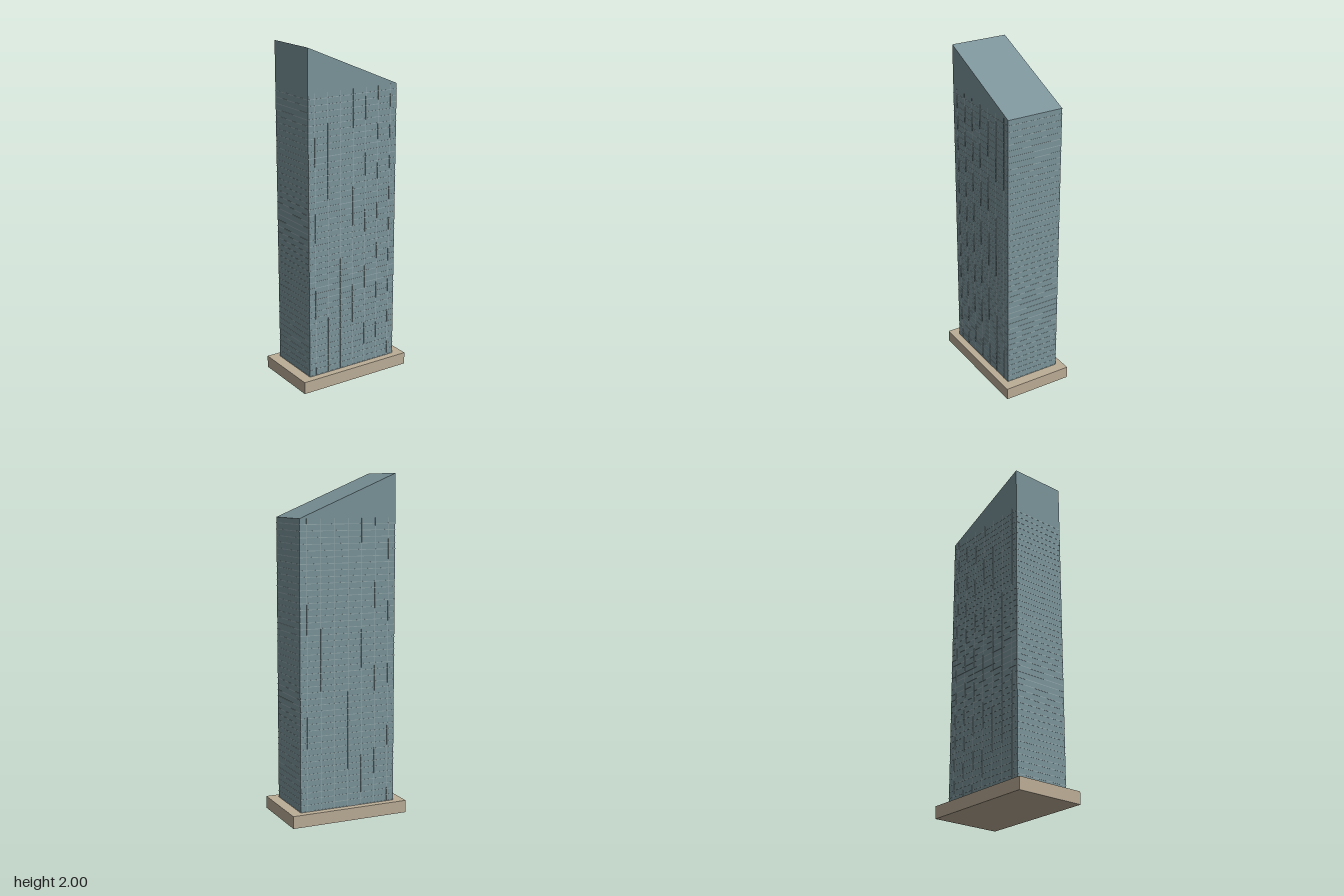
import * as THREE from 'three';

const HALF_W = 0.298, HALF_D = 0.171;
const BASE_TOP = 0.073, EAVE = 1.75, PEAK = 2;

const material = (color) => new THREE.MeshStandardMaterial({ color, flatShading: true });

export function createModel() {
  const model = new THREE.Group();
  const stone = material(0xbcae97);
  const glass = material(0x7b949a);
  const trim = material(0x93a8ac);

  const addBox = (parent, name, mat, size, position) => {
    const mesh = new THREE.Mesh(new THREE.BoxGeometry(...size), mat);
    mesh.name = name;
    mesh.position.set(...position);
    parent.add(mesh);
  };

  // Plinth
  addBox(model, 'plinth', stone, [0.724, BASE_TOP, 0.428], [0, BASE_TOP / 2, 0]);

  // Tower body with a roof sloping down toward +x
  const profile = new THREE.Shape([
    new THREE.Vector2(-HALF_W, 0.002),
    new THREE.Vector2(HALF_W, 0.002),
    new THREE.Vector2(HALF_W, EAVE),
    new THREE.Vector2(-HALF_W, PEAK),
  ]);
  const body = new THREE.ExtrudeGeometry(profile, { depth: 2 * HALF_D, bevelEnabled: false });
  body.translate(0, 0, -HALF_D);
  const tower = new THREE.Mesh(body, glass);
  tower.name = 'tower';
  model.add(tower);

  // Thin floor bands wrapping all four sides
  const floors = new THREE.Group();
  floors.name = 'floorBands';
  for (let i = 0; i < 46; i++) {
    addBox(floors, 'floorBand', trim,
      [2 * HALF_W + 0.002, 0.004, 2 * HALF_D + 0.002], [0, BASE_TOP + 0.002 + i * 0.0365, 0]);
  }
  model.add(floors);

  // Vertical mullions on the front and back
  const mullions = new THREE.Group();
  mullions.name = 'mullions';
  for (const side of [-1, 1]) {
    for (let i = -3; i <= 3; i++) {
      addBox(mullions, 'mullion', trim,
        [0.003, EAVE - BASE_TOP, 0.004], [i * 0.085, (EAVE + BASE_TOP) / 2, side * HALF_D]);
    }
  }
  model.add(mullions);

  return model;
}
